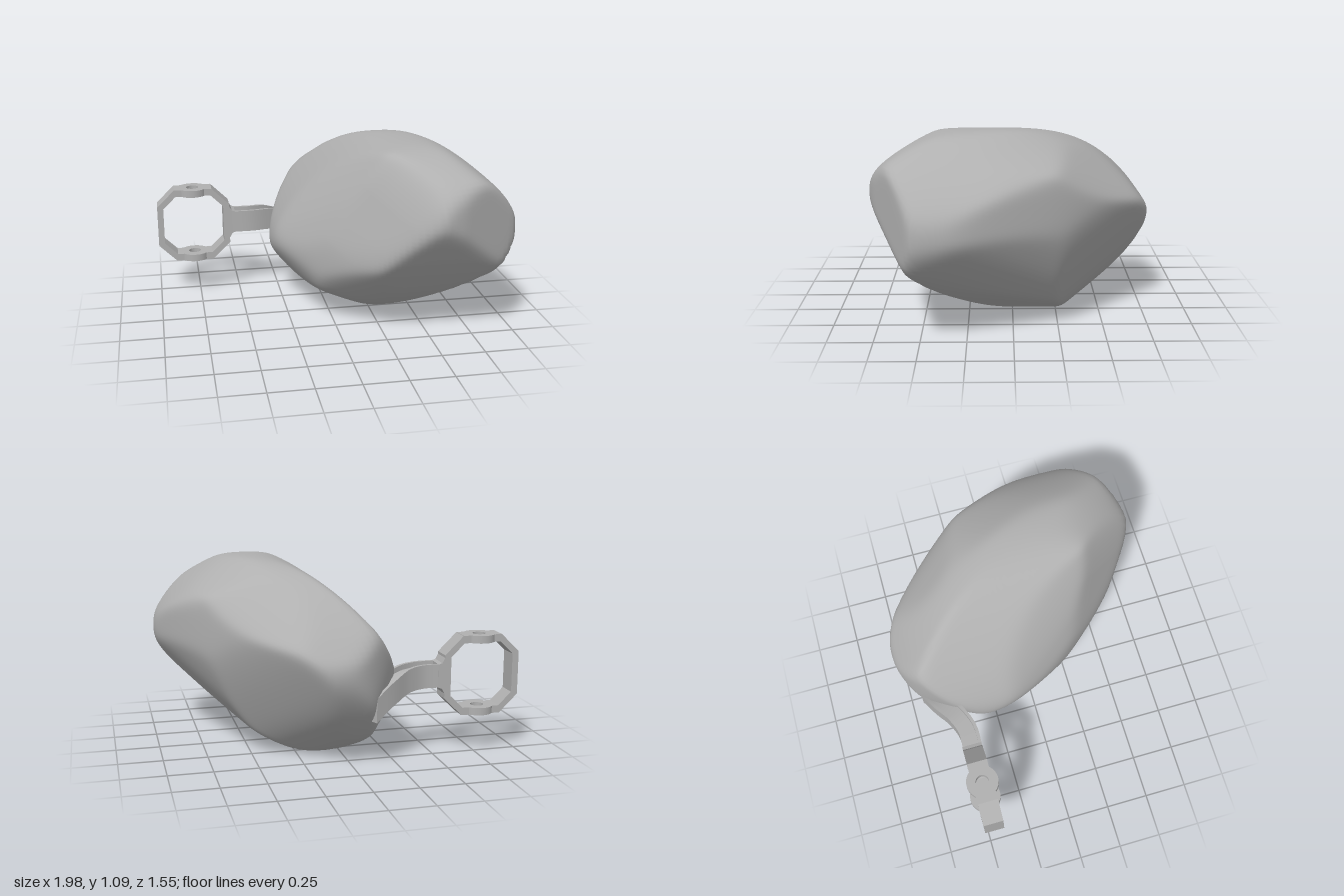
import * as THREE from 'three';
import { mergeVertices, toCreasedNormals } from 'three/addons/utils/BufferGeometryUtils.js';

const grey = new THREE.MeshStandardMaterial({ color: 0xb0b0b0 });
grey.name = 'grey';
const rad = THREE.MathUtils.degToRad;

function part(name, geometry, parent) {
  const mesh = new THREE.Mesh(geometry, grey);
  mesh.name = name;
  parent.add(mesh);
  return mesh;
}

// Contours that shape the housing: azimuth, elevation, then a few u, v pairs
const CONTOURS = [
  [0, 0, -.325, .35, -.18, .15, .16, .005, .6, .205, .9, .44, .99, .655, .865, .875, .56, 1.09, .22, 1.06, -.2, .66],
  [90, 0, -.79, .785, -.7, .94, -.405, 1.085, .015, 1.105, .4, .99, .715, .7, .785, .55, .42, .045, .05, .005,
    -.345, .195, -.7, .61],
  [0, 90, .125, .795, -.2, .61, -.33, .28, -.16, -.165, .245, -.635, .495, -.785, .61, -.74, .95, -.56, .985, -.36,
    .725, .265, .45, .62],
  [35, 25, .32, 1.03, .565, .89, .765, .645, .66, .255, .38, -.045, .19, -.085, -.225, .23, -.175, .53, .105, .92],
  [215, 25, -.18, 1.276, 0, 1.21, .175, .763, .235, .388, .055, .073, -.19, -.102, -.44, .043, -.6, .27, -.75, .658,
    -.72, .95, -.47, 1.163],
  [140, -28, -1.11, .663, -1, .863, -.52, 1.083, -.09, 1.133, .375, .998, .535, .818, .44, .283, .16, .138, -.3, .088,
    -.765, .258, -1.015, .403],
];

// Smooth a contour and return how strongly it limits a direction from the centre
function limiter([azimuth, elevation, ...flat], centre) {
  const a = rad(azimuth), e = rad(elevation);
  const right = new THREE.Vector3(Math.cos(a), 0, -Math.sin(a));
  const up = new THREE.Vector3(-Math.sin(e) * Math.sin(a), Math.cos(e), -Math.sin(e) * Math.cos(a));
  const cu = centre.dot(right), cv = centre.dot(up);
  const points = [];
  for (let i = 0; i < flat.length; i += 2) points.push(new THREE.Vector3(flat[i] - cu, flat[i + 1] - cv, 0));
  const loop = new THREE.CatmullRomCurve3(points, true).getPoints(120);
  const edges = loop.slice(1).map((q, i) => {
    const p = loop[i], nu = q.y - p.y, nv = p.x - q.x;
    const offset = nu * p.x + nv * p.y;
    return [nu / offset, nv / offset];
  });
  return (d) => {
    const u = d.dot(right), v = d.dot(up);
    return edges.reduce((g, [nu, nv]) => Math.max(g, nu * u + nv * v), 0);
  };
}

// Rounded housing: a sphere pushed out to a soft intersection of the contours
function housingGeometry() {
  const centre = new THREE.Vector3(.35, .55, 0), power = 55;
  const limits = CONTOURS.map((contour) => limiter(contour, centre));
  let geometry = new THREE.SphereGeometry(1, 144, 96);
  geometry.deleteAttribute('uv');
  geometry.deleteAttribute('normal');
  geometry = mergeVertices(geometry, 1e-5);
  const pos = geometry.attributes.position, d = new THREE.Vector3();
  for (let i = 0; i < pos.count; i++) {
    d.fromBufferAttribute(pos, i).normalize();
    const sum = limits.reduce((s, limit) => s + limit(d) ** power, 0);
    d.multiplyScalar(sum ** (-1 / power)).add(centre);
    pos.setXYZ(i, d.x, d.y, d.z);
  }
  geometry.computeVertexNormals();
  return geometry;
}

function polygon(points) {
  return new THREE.Shape(points.map(([x, y]) => new THREE.Vector2(x, y)));
}

// Extrusion along z, centred on z = 0
function slab(shape, depth) {
  return new THREE.ExtrudeGeometry(shape, { depth, bevelEnabled: false, curveSegments: 24 }).translate(0, 0, -depth / 2);
}

// Sweep of an upright cross-section along a path, closed at both ends
function sweep(path, section, steps) {
  const positions = [], index = [], n = section.length;
  for (let i = 0; i <= steps; i++) {
    const p = path.getPoint(i / steps), t = path.getTangent(i / steps);
    const side = new THREE.Vector3(-t.z, 0, t.x).normalize();
    for (const s of section) positions.push(p.x + side.x * s.x, p.y + s.y, p.z + side.z * s.x);
  }
  for (let i = 0; i < steps; i++) {
    for (let j = 0; j < n; j++) {
      const a = i * n + j, b = i * n + (j + 1) % n;
      index.push(a, a + n, b, b, a + n, b + n);
    }
  }
  for (const [a, b, c] of THREE.ShapeUtils.triangulateShape(section, [])) {
    const end = steps * n;
    index.push(a, b, c, end + c, end + b, end + a);
  }
  const geometry = new THREE.BufferGeometry();
  geometry.setAttribute('position', new THREE.Float32BufferAttribute(positions, 3));
  geometry.setIndex(index);
  return toCreasedNormals(geometry, rad(35));
}

// Eight-sided clamp ring with drilled bosses above and below
function clampRing() {
  const ring = new THREE.Group();
  ring.name = 'clampRing';
  const innerEnd = [.108, .187], innerBend = [.185, .112], outerBend = [.222, .125], outerEnd = [.115, .23];
  const flip = ([x, y]) => [x, -y];
  const half = [flip(outerEnd), flip(outerBend), outerBend, outerEnd, innerEnd, innerBend, flip(innerBend), flip(innerEnd)];
  part('ringInnerSide', slab(polygon(half), .114), ring);
  part('ringOuterSide', slab(polygon(half), .114).rotateY(Math.PI), ring);

  const plate = new THREE.Shape();
  const w = .116, z = .057, r = .09, angle = Math.asin(z / r);
  plate.moveTo(-w, z);
  plate.lineTo(-w, -z);
  plate.absarc(0, 0, r, angle - Math.PI, -angle, false);
  plate.lineTo(w, -z);
  plate.lineTo(w, z);
  plate.absarc(0, 0, r, angle, Math.PI - angle, false);
  plate.holes.push(new THREE.Path().absarc(0, 0, .037, 0, Math.PI * 2, true));
  for (const [name, y] of [['upperBoss', .2085], ['lowerBoss', -.2085]]) {
    part(name, slab(plate, .043).rotateX(-Math.PI / 2), ring).position.y = y;
  }
  ring.position.set(-.778, .46, -.464);
  return ring;
}

export function createModel() {
  const model = new THREE.Group();
  model.name = 'mirrorWithClamp';
  part('housing', housingGeometry(), model);
  model.add(clampRing());

  // Flared neck joining the ring to the arm
  const flare = [[-.02, .133], [0, .103], [.016, .074], [.036, .067]];
  const neck = [...flare.map(([x, y]) => [x, -y]), ...flare.reverse()];
  part('armNeck', slab(polygon(neck), .114), model).position.set(-.556, .467, -.464);

  // Curved arm with a pocket along its top
  const path = new THREE.CatmullRomCurve3([
    [-.57, .467, -.464], [-.42, .467, -.464], [-.31, .457, -.505], [-.2, .41, -.572], [-.09, .335, -.625],
  ].map((p) => new THREE.Vector3(...p)));
  const w = .056, h = .067, wall = .018, floor = .037;
  const section = [[-w, -h], [w, -h], [w, h], [w - wall, h], [w - wall, floor], [wall - w, floor], [wall - w, h], [-w, h]]
    .map(([x, y]) => new THREE.Vector2(x, y));
  part('arm', sweep(path, section, 28), model);
  return model;
}
